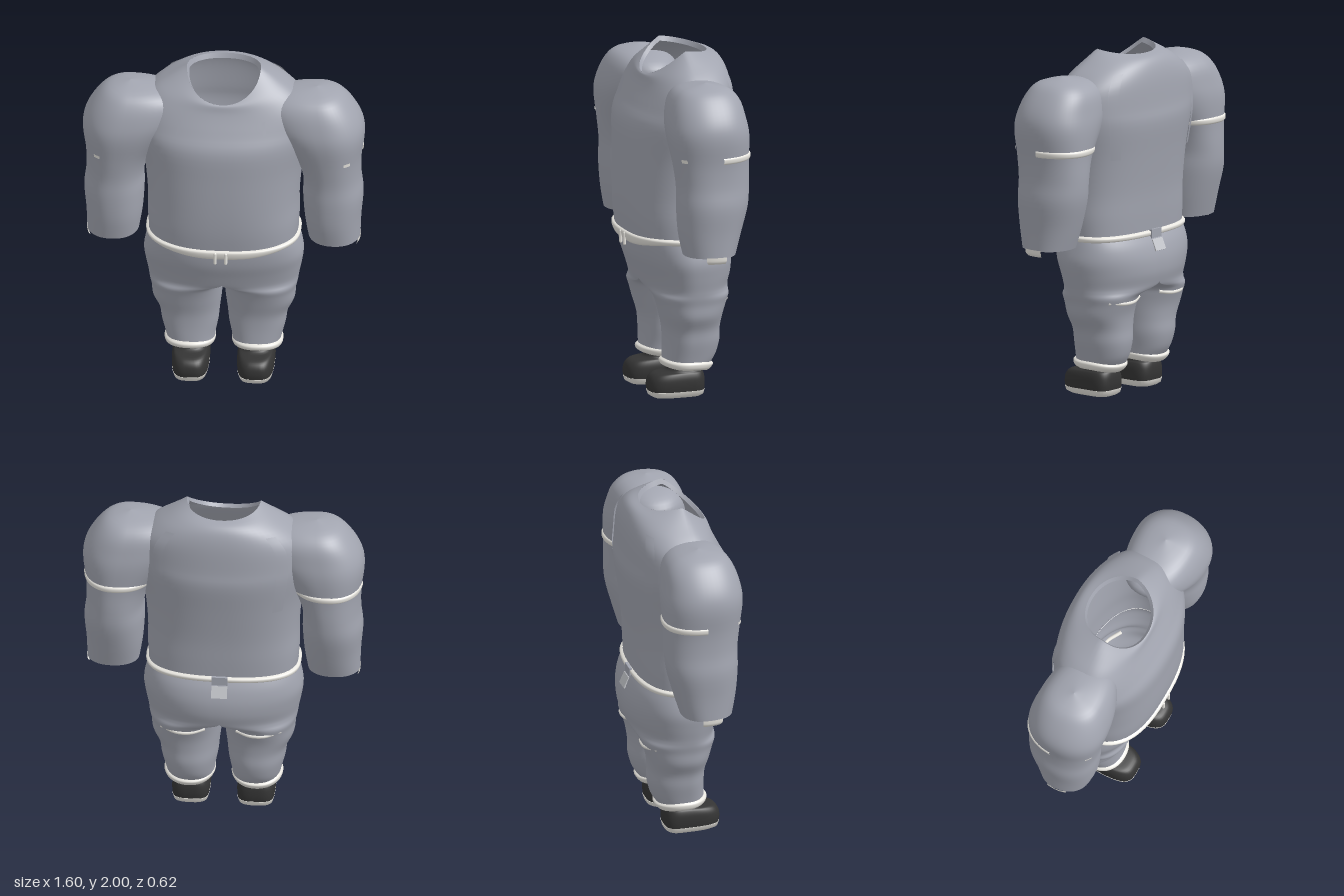
import * as THREE from 'three';
import { toCreasedNormals } from 'three/addons/utils/BufferGeometryUtils.js';

const flat = (name, color) => {
  const m = new THREE.MeshStandardMaterial({ color, side: THREE.DoubleSide });
  m.name = name;
  return m;
};

// Catmull-Rom blend of one number
const blend = (a, b, c, d, t) =>
  0.5 * (2 * b + (c - a) * t + (2 * a - 5 * b + 4 * c - d) * t * t + (3 * b - a - 3 * c + d) * t * t * t);

// Skin over rings [y, centreX, innerRadius, outerRadius, front, back, squareness, frontLift, backLift, liftPower]
const DEFAULTS = [0, 0, 0, 0, 0, 0, 2.2, 0, 0, 2];
function loft(rings, { steps = 4, from = 0, to = Math.PI * 2, sides = 48, half = false } = {}) {
  const rows = [], last = rings.length - 1;
  const at = (i) => rings[Math.min(last, Math.max(0, i))];
  const val = (r, k) => r[k] ?? DEFAULTS[k];
  for (let i = 0; i < last * steps + 1; i++) {
    const s = Math.min(last - 1, Math.floor(i / steps)), t = i / steps - s;
    rows.push(DEFAULTS.map((_, k) => steps === 1
      ? val(rings[i], k)
      : blend(val(at(s - 1), k), val(at(s), k), val(at(s + 1), k), val(at(s + 2), k), t)));
  }
  const closed = to - from > 6.28;
  const pos = [], idx = [];
  for (const [y, cx, ri, ro, zf, zb, n, lf, lb, power] of rows) {
    for (let i = 0; i <= sides; i++) {
      const a = from + (to - from) * (closed ? i % sides : i) / sides;
      const c = Math.cos(a), s = Math.sin(a);
      const u = Math.sign(c) * Math.abs(c) ** (2 / n), v = Math.sign(s) * Math.abs(s) ** (2 / n);
      const x = cx + u * (u > 0 ? ro : ri);
      pos.push(half ? Math.max(0, x) : x, y + Math.abs(v) ** power * (v > 0 ? lf : lb), v * (v > 0 ? zf : zb));
    }
  }
  const w = sides + 1;
  const tri = (...t) => {
    if (!(half && t.every((k) => pos[k * 3] < 0.001))) idx.push(...t);
  };
  for (let j = 0; j < rows.length - 1; j++) {
    for (let i = 0; i < sides; i++) {
      const p = j * w + i;
      tri(p, p + w, p + 1);
      tri(p + 1, p + w, p + w + 1);
    }
  }
  const g = new THREE.BufferGeometry();
  g.setAttribute('position', new THREE.Float32BufferAttribute(pos, 3));
  g.setIndex(idx);
  g.computeVertexNormals();
  // Keep shading continuous over the ring seam and the centre line
  const N = g.attributes.normal, q = new THREE.Vector3(), r = new THREE.Vector3();
  for (let j = 0; j < rows.length; j++) {
    if (closed) {
      q.fromBufferAttribute(N, j * w).add(r.fromBufferAttribute(N, j * w + sides)).normalize();
      N.setXYZ(j * w, q.x, q.y, q.z);
      N.setXYZ(j * w + sides, q.x, q.y, q.z);
    }
    for (let k = j * w; half && k < (j + 1) * w; k++) {
      if (pos[k * 3] > 0.001) continue;
      q.fromBufferAttribute(N, k).setX(0).normalize();
      N.setXYZ(k, q.x, q.y, q.z);
    }
  }
  return steps === 1 ? toCreasedNormals(g, 0.9) : g;
}

// Rings pushed outwards
const grow = (rings, d) => rings.map(([y, cx, a, b, f, k, ...rest]) => [y, cx, a + d, b + d, f + d, k + d, ...rest]);

export function createModel() {
  const cloth = flat('grey cloth', 0xa2a5b0);
  const trim = flat('off-white trim', 0xeae8e2);
  const pale = flat('pale grey label', 0xc4c6cb);
  const black = flat('black shoe', 0x343434);
  const model = new THREE.Group();
  model.name = 'outfit';
  const add = (name, geo, mat) => {
    const m = new THREE.Mesh(geo, mat);
    m.name = name;
    model.add(m);
    return m;
  };
  const pair = (name, geo, mat) => {
    add(name + 'Left', geo, mat);
    add(name + 'Right', geo, mat).scale.x = -1;
  };

  // Shirt body with an open neck
  const torso = [
    [0.925, 0, 0.42, 0.42, 0.285, 0.24, 2.6],
    [1.05, 0, 0.43, 0.43, 0.302, 0.25, 2.5],
    [1.2, 0, 0.43, 0.43, 0.31, 0.26, 2.4],
    [1.4, 0, 0.45, 0.45, 0.31, 0.285, 2.3],
    [1.58, 0, 0.49, 0.49, 0.305, 0.31, 2.2],
    [1.68, 0, 0.5, 0.5, 0.26, 0.302, 2.2],
    [1.78, 0, 0.48, 0.48, 0.22, 0.292, 2.2, -0.02, 0.04],
    [1.865, 0, 0.4, 0.4, 0.2, 0.272, 2.2, -0.06, 0.04],
    [1.93, 0, 0.31, 0.31, 0.19, 0.24, 2.1, -0.09, 0.022, 1.5],
    [2.0, 0, 0.21, 0.21, 0.18, 0.19, 2.1, -0.15, -0.03, 1.1],
  ];
  add('shirtBody', loft(torso, { sides: 64 }), cloth);
  const rim = [1.972, 0, 0.197, 0.197, 0.165, 0.178, 2.1, -0.14, -0.03, 1.1];
  add('neckRim', loft([torso[9], rim], { steps: 1 }), cloth);

  // Raised folds on the back and chest
  pair('backFold', loft(grow(torso.slice(3, 8), 0.01), { from: -0.92, to: -0.74, sides: 6 }), cloth);
  pair('chestFold', loft(grow(torso.slice(5, 7), 0.008), { from: 1.08, to: 1.12, sides: 2 }), cloth);

  // Sleeves, open at the wrist and running into the chest at the shoulder
  pair('sleeve', loft([
    [0.92, 0.63, 0.15, 0.145, 0.165, 0.13],
    [1.05, 0.62, 0.16, 0.16, 0.19, 0.17],
    [1.2, 0.62, 0.17, 0.172, 0.2, 0.21],
    [1.32, 0.615, 0.165, 0.165, 0.2, 0.22],
    [1.45, 0.61, 0.205, 0.172, 0.215, 0.22],
    [1.6, 0.595, 0.3, 0.205, 0.235, 0.225],
    [1.7, 0.57, 0.34, 0.212, 0.225, 0.212],
    [1.8, 0.545, 0.32, 0.175, 0.19, 0.185],
    [1.86, 0.535, 0.2, 0.115, 0.13, 0.12],
    [1.89, 0.53, 0, 0, 0, 0],
  ]), cloth);
  const band = [
    [1.465, 0.607, 0.205, 0.176, 0.217, 0.219],
    [1.475, 0.607, 0.215, 0.184, 0.225, 0.229],
    [1.495, 0.605, 0.22, 0.188, 0.228, 0.231],
    [1.505, 0.605, 0.218, 0.18, 0.222, 0.221],
  ];
  pair('sleeveBand', loft(band, { from: -Math.PI, to: -0.05 }), trim);
  pair('sleeveBandEnd', loft(band.slice(1, 3), { from: 0.9, to: 1.12, sides: 6 }), trim);
  pair('cuffTab', loft([
    [0.885, 0.63, 0.12, 0.135, 0.14, 0.12],
    [0.9, 0.63, 0.148, 0.145, 0.165, 0.135],
    [0.925, 0.63, 0.152, 0.148, 0.167, 0.133],
  ], { from: -0.25, to: 0.45, sides: 10 }), trim);

  // Trousers, one half per side and joined on the centre line
  pair('trouserHalf', loft([
    [0.19, 0.185, 0.135, 0.135, 0.125, 0.15],
    [0.24, 0.19, 0.145, 0.142, 0.122, 0.18],
    [0.32, 0.195, 0.165, 0.157, 0.12, 0.2],
    [0.4, 0.2, 0.178, 0.165, 0.125, 0.2],
    [0.48, 0.21, 0.198, 0.192, 0.145, 0.21],
    [0.55, 0.21, 0.204, 0.2, 0.165, 0.232],
    [0.595, 0.19, 0.186, 0.23, 0.182, 0.25],
    [0.625, 0.07, 0.07, 0.355, 0.192, 0.27],
    [0.655, 0, 0, 0.43, 0.205, 0.283],
    [0.72, 0, 0, 0.443, 0.225, 0.298],
    [0.8, 0, 0, 0.453, 0.25, 0.297, 2.3],
    [0.88, 0, 0, 0.438, 0.262, 0.275, 2.5],
    [0.945, 0, 0, 0.42, 0.265, 0.24, 2.6],
  ], { half: true, sides: 64 }), cloth);

  // Ankle hems, lower at the heel
  pair('ankleHem', loft([
    [0.165, 0.19, 0.125, 0.13, 0.115, 0.135, 2.2, 0.01, -0.02],
    [0.177, 0.19, 0.139, 0.143, 0.135, 0.15, 2.2, 0.01, -0.02],
    [0.2, 0.19, 0.145, 0.147, 0.14, 0.163, 2.2, 0.01, -0.02],
    [0.213, 0.19, 0.135, 0.135, 0.12, 0.15, 2.2, 0.01, -0.02],
  ]), trim);

  // Creases under the seat
  const crease = new THREE.CatmullRomCurve3([
    new THREE.Vector3(0.09, 0.575, -0.205), new THREE.Vector3(0.17, 0.56, -0.232),
    new THREE.Vector3(0.25, 0.56, -0.23), new THREE.Vector3(0.34, 0.57, -0.182),
  ]);
  pair('seatCrease', new THREE.TubeGeometry(crease, 16, 0.011, 8), trim);

  // Waistband widening at the front, with drawstrings
  add('waistband', loft([
    [0.918, 0, 0.42, 0.42, 0.265, 0.24, 2.6, -0.04, 0, 6],
    [0.926, 0, 0.436, 0.436, 0.292, 0.256, 2.6, -0.038, 0, 6],
    [0.945, 0, 0.44, 0.44, 0.302, 0.26, 2.6, -0.014, 0, 6],
    [0.955, 0, 0.425, 0.425, 0.285, 0.243, 2.6, -0.012, 0, 6],
  ], { sides: 64 }), trim);
  const string = new THREE.CapsuleGeometry(0.009, 0.06, 4, 10);
  string.translate(0.03, 0.897, 0.3);
  pair('drawstring', string, trim);

  // Loop and label at the back of the waist
  add('backLoop', new THREE.BoxGeometry(0.09, 0.05, 0.016), cloth).position.set(0, 0.935, -0.256);
  const label = add('backLabel', new THREE.BoxGeometry(0.09, 0.07, 0.009), pale);
  label.position.set(0, 0.872, -0.279);
  label.rotation.x = 0.42;

  // Hollow shoes on pale soles
  pair('shoe', loft([
    [0.035, 0.185, 0.103, 0.103, 0.212, 0.105, 3.4],
    [0.07, 0.185, 0.107, 0.107, 0.218, 0.11, 3.2],
    [0.11, 0.185, 0.106, 0.106, 0.21, 0.109, 3],
    [0.138, 0.185, 0.098, 0.098, 0.18, 0.103, 2.8],
    [0.15, 0.185, 0.088, 0.088, 0.11, 0.095, 2.4],
    [0.175, 0.185, 0.083, 0.083, 0.09, 0.09, 2.3],
  ]), black);
  pair('sole', loft([
    [0, 0.185, 0, 0, 0, 0, 3.4],
    [0, 0.185, 0.08, 0.08, 0.185, 0.085, 3.4],
    [0.012, 0.185, 0.098, 0.098, 0.207, 0.102, 3.4],
    [0.038, 0.185, 0.105, 0.105, 0.215, 0.108, 3.4],
    [0.04, 0.185, 0, 0, 0, 0, 3.4],
  ], { steps: 1 }), trim);

  return model;
}
